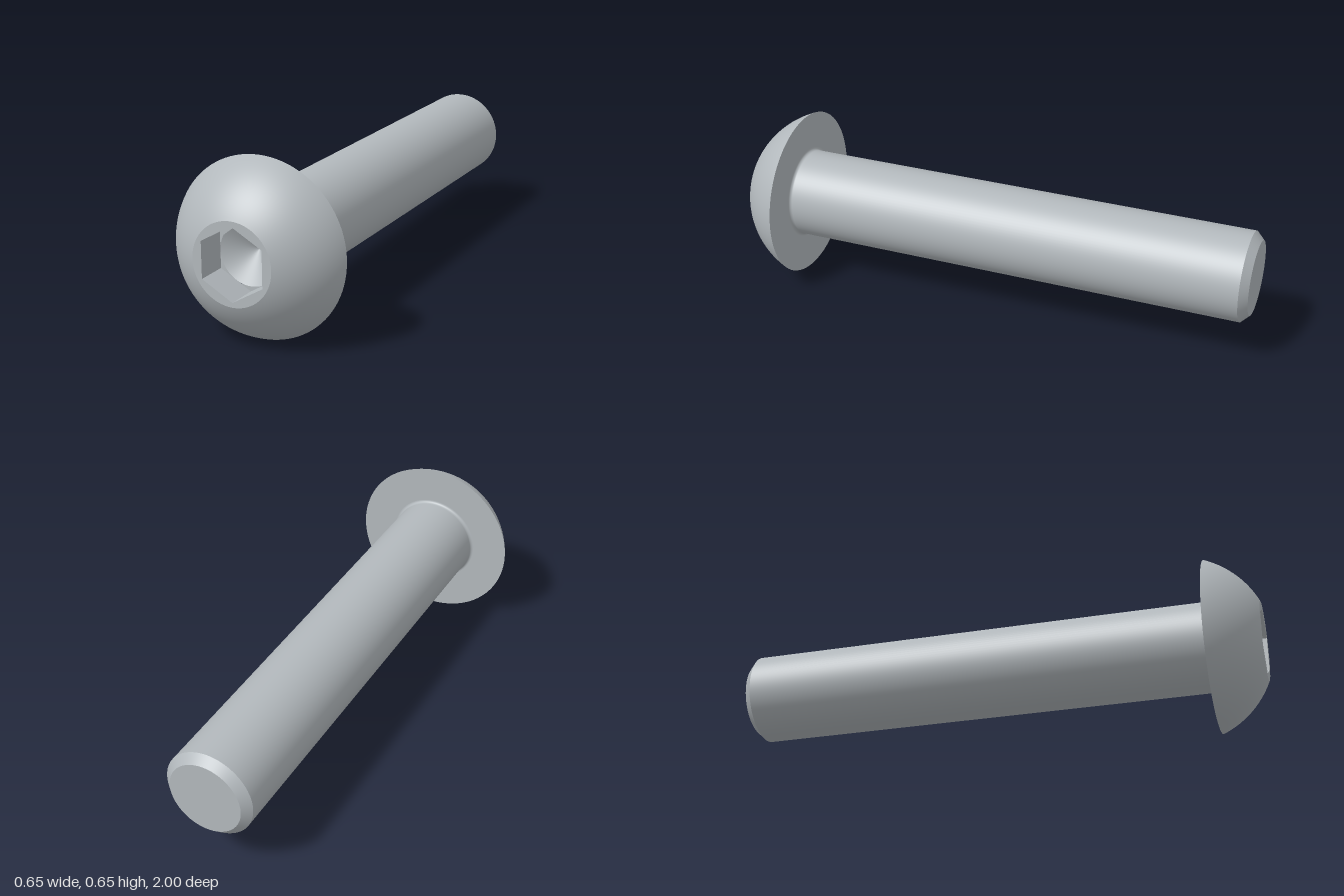
import * as THREE from 'three';

const SEGMENTS = 96;
const HEAD_R = 0.323, SHANK_R = 0.169, FACE_R = 0.147, TIP_R = 0.139;
const HEAD_BACK = 0.813, FILLET = 0.012, CHAMFER = 0.03;
const HEX_FLAT = 0.113, HEX_R = HEX_FLAT / Math.cos(Math.PI / 6);
const SOCKET_Z = 0.88, DRILL_R = HEX_FLAT - 0.0004;

export function createModel() {
  const group = new THREE.Group();
  const steel = new THREE.MeshStandardMaterial({ color: 0xb2b8bc });
  steel.name = 'steel';

  const add = (name, geometry) => {
    const mesh = new THREE.Mesh(geometry, steel);
    mesh.name = name;
    mesh.position.y = HEAD_R;
    group.add(mesh);
  };

  // Turned surface about the z axis from [radius, z] pairs
  const turned = (points, segments = SEGMENTS) =>
    new THREE.LatheGeometry(points.map(([r, z]) => new THREE.Vector2(r, z)), segments)
      .rotateX(Math.PI / 2);

  // Circular arc as [radius, z] pairs
  const arc = (cr, cz, radius, from, to, steps) =>
    Array.from({ length: steps + 1 }, (_, i) => {
      const a = from + (to - from) * i / steps;
      return [cr + radius * Math.cos(a), cz + radius * Math.sin(a)];
    });

  const hexPoints = Array.from({ length: 6 }, (_, i) => new THREE.Vector2(
    HEX_R * Math.sin(i * Math.PI / 3), HEX_R * Math.cos(i * Math.PI / 3)));

  // Shank, with separate surfaces where the edges are sharp
  add('shankTip', turned([[0, -1], [TIP_R, -1]]));
  add('tipChamfer', turned([[TIP_R, -1], [SHANK_R, -1 + CHAMFER]]));
  add('shank', turned([[SHANK_R, -1 + CHAMFER], [SHANK_R, HEAD_BACK - FILLET]]));
  add('shankFillet', turned(
    arc(SHANK_R + FILLET, HEAD_BACK - FILLET, FILLET, Math.PI, Math.PI / 2, 8)));

  // Head: flat underside and a spherical dome centred on the axis
  add('headUnderside', turned([[SHANK_R + FILLET, HEAD_BACK], [HEAD_R, HEAD_BACK]]));
  const centre = (1 + FACE_R ** 2 - HEAD_R ** 2 - HEAD_BACK ** 2) / (2 * (1 - HEAD_BACK));
  const radius = Math.hypot(HEAD_R, HEAD_BACK - centre);
  add('headDome', turned(arc(0, centre, radius,
    Math.atan2(HEAD_BACK - centre, HEAD_R), Math.atan2(1 - centre, FACE_R), 24)));

  // Flat front face around the hexagonal opening
  const face = new THREE.Shape().absarc(0, 0, FACE_R, 0, Math.PI * 2);
  face.holes.push(new THREE.Path(hexPoints));
  add('headFace', new THREE.ShapeGeometry(face, SEGMENTS).translate(0, 0, 1));

  // Hexagonal socket walls, facing inward
  const walls = turned([[HEX_R, 1], [HEX_R, SOCKET_Z]], 6).toNonIndexed();
  walls.computeVertexNormals();
  add('socketWalls', walls);

  // Socket floor corners around the conical drill point
  const floor = new THREE.Shape(hexPoints);
  floor.holes.push(new THREE.Path().absarc(0, 0, DRILL_R, 0, Math.PI * 2));
  add('socketFloor', new THREE.ShapeGeometry(floor, SEGMENTS).translate(0, 0, SOCKET_Z));
  add('socketCone', turned([[DRILL_R, SOCKET_Z],
    [0, SOCKET_Z - DRILL_R * Math.tan(Math.PI / 6)]]));

  return group;
}
